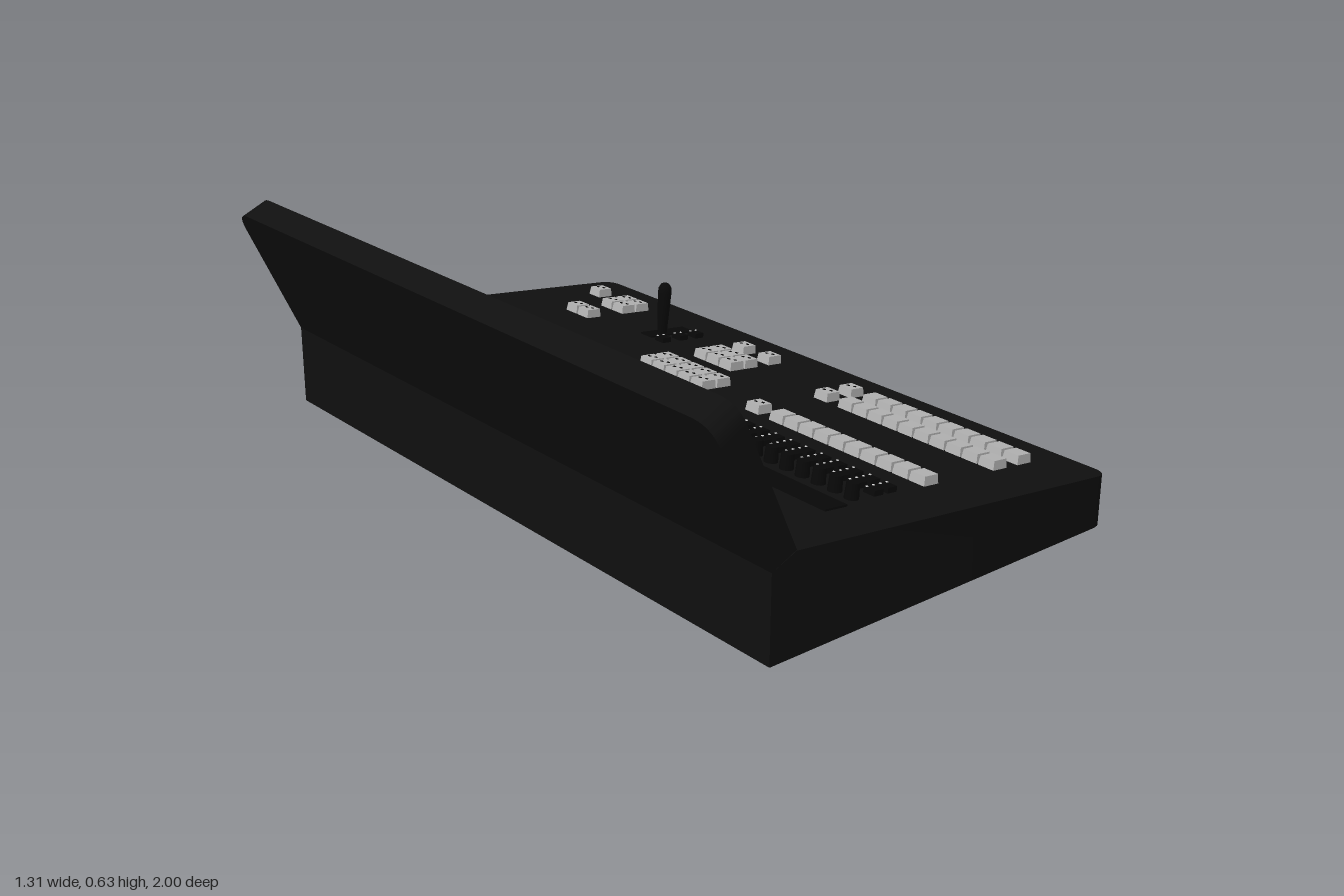
import * as THREE from 'three';
import { mergeGeometries, toCreasedNormals } from 'three/addons/utils/BufferGeometryUtils.js';

const mat = (name, color) => Object.assign(new THREE.MeshStandardMaterial({ color }), { name });

export function createModel() {
  const housing = mat('housing black', 0x0f0f0f);
  const cap = mat('cap black', 0x080808);
  const grey = mat('key grey', 0xb4b4b4);
  const white = mat('marking white', 0xe0e0e0);

  const model = new THREE.Group();
  model.name = 'controlConsole';
  const add = (parent, name, geo, material, x = 0, y = 0, z = 0) => {
    const m = new THREE.Mesh(geo, material);
    m.name = name;
    m.position.set(x, y, z);
    parent.add(m);
    return m;
  };
  // One mesh made of copies of a geometry at each given point
  const scatter = (parent, name, geo, material, points) =>
    add(parent, name, mergeGeometries(points.map(p => geo.clone().translate(...p))), material);
  // All pairings of two lists
  const grid = (xs, zs) => xs.flatMap(x => zs.map(z => [x, z]));
  const run = (n, start, step) => Array.from({ length: n }, (_, i) => start + i * step);

  // Wedge body: rounded plan, with the top sheared to the deck slope
  const slope = 0.1127, deckY = 0.209;
  const plan = new THREE.Shape();
  plan.moveTo(-0.41, -1);
  plan.lineTo(0.61, -1);
  plan.quadraticCurveTo(0.654, -1, 0.654, -0.95);
  plan.lineTo(0.654, 0.95);
  plan.quadraticCurveTo(0.654, 1, 0.61, 1);
  plan.lineTo(-0.41, 1);
  let body = new THREE.ExtrudeGeometry(plan, { depth: 1, bevelEnabled: false, curveSegments: 8 });
  body.rotateX(-Math.PI / 2);
  const p = body.attributes.position;
  for (let i = 0; i < p.count; i++) if (p.getY(i) > 0.5) p.setY(i, deckY - slope * p.getX(i));
  body.computeVertexNormals();
  add(model, 'wedgeBody', toCreasedNormals(body, 0.5), housing);

  // Rear strip below the upright panel
  const strip = new THREE.Shape([[-0.48, 0], [-0.41, 0], [-0.41, 0.255], [-0.48, 0.225]]
    .map(a => new THREE.Vector2(...a)));
  add(model, 'rearStrip', new THREE.ExtrudeGeometry(strip, { depth: 2, bevelEnabled: false }), housing, 0, 0, -1);

  // Leaning panel: local x is -z, y runs up the panel, z is its outward normal
  const panel = new THREE.Group();
  panel.name = 'uprightPanel';
  panel.rotation.set(0, Math.PI / 2, 0.431, 'ZYX');
  panel.position.set(-0.48, 0.225, 0);
  model.add(panel);
  const T = 0.078, H = 0.414, R = 0.065;
  const face = new THREE.Shape();
  face.moveTo(-1, 0);
  face.lineTo(1, 0);
  face.lineTo(1, H - R);
  face.quadraticCurveTo(1, H, 1 - R, H);
  face.lineTo(-1 + R, H);
  face.quadraticCurveTo(-1, H, -1, H - R);
  const slab = new THREE.ExtrudeGeometry(face, { depth: T, bevelEnabled: false, curveSegments: 10 });
  add(panel, 'panelSlab', toCreasedNormals(slab, 0.5), housing);

  // Panel displays
  add(panel, 'panelDisplay', new THREE.BoxGeometry(0.4, 0.17, 0.006), cap, 0, 0.21, T + 0.003);
  add(panel, 'panelSlot', new THREE.BoxGeometry(0.13, 0.04, 0.008), cap, 0.4, 0.05, T + 0.004);

  // Panel button banks with small corner markings
  const rows = [0.155, 0.195, 0.235, 0.27];
  const bank = grid([...run(2, -0.69, 0.055), ...run(5, -0.505, 0.055), ...run(3, 0.26, 0.055)], rows);
  scatter(panel, 'panelButtons', new THREE.BoxGeometry(0.034, 0.026, 0.012), cap,
    bank.map(([x, y]) => [x, y, T + 0.006]));
  scatter(panel, 'panelMarkings', new THREE.BoxGeometry(0.005, 0.005, 0.003), white,
    bank.flatMap(([x, y]) => [-0.011, 0.011].map(d => [x + d, y + 0.005, T + 0.0125])));

  // Keys above and knobs below the display
  const four = run(4, -0.125, 0.083);
  scatter(panel, 'panelTopKeys', new THREE.BoxGeometry(0.055, 0.016, 0.018), cap,
    four.map(x => [x, 0.335, T + 0.009]));
  const knob = new THREE.CylinderGeometry(0.019, 0.022, 0.045, 20).rotateX(Math.PI / 2);
  scatter(panel, 'panelKnobs', knob, cap, four.map(x => [x, 0.05, T + 0.022]));

  // Joystick standing out of the panel
  const stick = [[0, 0], [0.035, 0], [0.035, 0.015], [0.022, 0.02], [0.024, 0.045], [0.042, 0.05], [0.042, 0.115], [0.036, 0.123], [0, 0.123]]
    .map(a => new THREE.Vector2(...a));
  const joystick = toCreasedNormals(new THREE.LatheGeometry(stick, 24).rotateX(Math.PI / 2), 0.5);
  add(panel, 'panelJoystick', joystick, cap, 0.71, 0.2, T);

  // Sloping deck: local y is its normal
  const deck = new THREE.Group();
  deck.name = 'deckControls';
  deck.position.y = deckY;
  deck.rotation.z = -Math.atan(slope);
  model.add(deck);

  // Light tapered keys
  const keyGeo = new THREE.BoxGeometry(0.05, 0.024, 0.05);
  const k = keyGeo.attributes.position;
  for (let i = 0; i < k.count; i++) if (k.getY(i) > 0) k.setXYZ(i, k.getX(i) * 0.9, k.getY(i), k.getZ(i) * 0.9);
  keyGeo.computeVertexNormals();
  const marked = [
    ...grid([-0.131, -0.077], [-0.87, -0.74, -0.685, -0.297, ...run(5, -0.2, 0.054)]),
    ...grid([0.172, 0.226], run(5, -0.196, 0.054)),
    ...grid([0.368, 0.422], run(3, -0.192, 0.054)),
    ...grid([0.513], [-0.87, -0.192, -0.084]),
    ...grid([0.325, 0.459, 0.513], [-0.74, -0.685]),
    ...grid([0.172, 0.422, 0.513], [0.244]),
  ];
  const plain = grid([0.172, 0.422, 0.513], run(10, 0.335, 0.0545));
  scatter(deck, 'lightKeys', keyGeo, grey, [...marked, ...plain].map(([x, z]) => [x, 0.012, z]));
  scatter(deck, 'keyMarkings', new THREE.BoxGeometry(0.006, 0.002, 0.008), cap,
    marked.flatMap(([x, z]) => [[x - 0.004, 0.0245, z - 0.009], [x + 0.005, 0.0245, z + 0.008]]));

  // Small dark buttons with white corner markings
  const small = [
    ...grid([0, 0.045], run(10, 0.335, 0.0545)),
    ...grid([-0.2, -0.16, -0.12], [0.19, 0.235]),
    ...grid([0.045], [0.19, 0.235]),
    ...grid([0.36, 0.425, 0.485], [-0.375]),
  ];
  scatter(deck, 'darkButtons', new THREE.BoxGeometry(0.03, 0.014, 0.036), cap,
    small.map(([x, z]) => [x, 0.007, z]));
  scatter(deck, 'buttonMarkings', new THREE.BoxGeometry(0.005, 0.003, 0.005), white,
    small.flatMap(([x, z]) => [[x - 0.011, 0.0145, z - 0.012], [x + 0.011, 0.0145, z - 0.012]]));

  // Row of rotary knobs and the strip display behind it
  scatter(deck, 'deckKnobs', new THREE.CylinderGeometry(0.016, 0.018, 0.04, 18), cap,
    run(10, 0.335, 0.0545).map(z => [-0.072, 0.02, z]));
  add(deck, 'stripDisplay', new THREE.BoxGeometry(0.07, 0.005, 0.56), cap, -0.155, 0.0025, 0.58);

  // Transition lever with a rounded top
  add(deck, 'leverSlot', new THREE.BoxGeometry(0.16, 0.004, 0.05), cap, 0.43, 0.002, -0.44);
  const leverShape = [[0, 0], [0.014, 0], [0.02, 0.125], [0.019, 0.14], [0.012, 0.152], [0, 0.157]]
    .map(a => new THREE.Vector2(...a));
  add(deck, 'transitionLever', new THREE.LatheGeometry(leverShape, 20), cap, 0.41, 0, -0.44).rotation.z = 0.03;

  return model;
}
